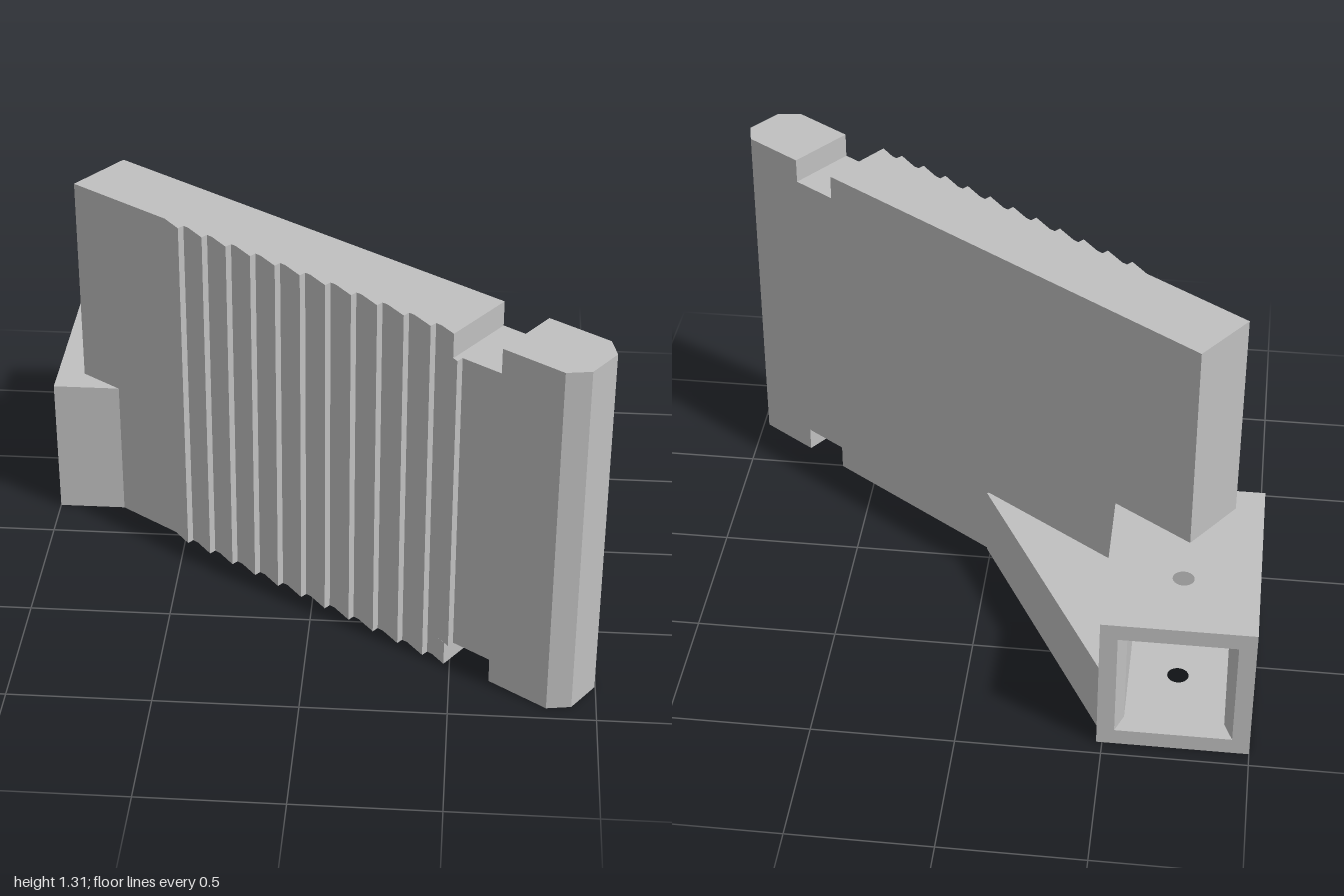
import * as THREE from 'three';

const grey = new THREE.MeshStandardMaterial({ color: 0xc0c0c0 });
grey.name = 'light grey';

const HEIGHT = 1.31, NOTCH = 0.09, THICK = 0.258;
const NOTCH_START = 1.7, NOTCH_END = 1.877;
const BOX = { x0: -1, x1: -0.48, z0: -0.945, z1: -0.17, h: 0.525 };
const WALL = 0.09, RIM = 0.06, BEVEL = 0.04, CAVITY_END = -0.5;

// Slab coordinates (u along its length, v out of its front) to plan [x, z]
const ANGLE = 0.6125;
const plan = ([u, v]) => [
  -0.9 + u * Math.cos(ANGLE) - v * Math.sin(ANGLE),
  -0.27 + u * Math.sin(ANGLE) + v * Math.cos(ANGLE),
];

// Upright prism from a plan outline of [x, z] points, with an optional round hole
function prism(points, y0, y1, hole) {
  const shape = new THREE.Shape(points.map(([x, z]) => new THREE.Vector2(x, -z)));
  if (hole) {
    const path = new THREE.Path();
    path.absarc(hole.x, -hole.z, hole.r, 0, Math.PI * 2, true);
    shape.holes.push(path);
  }
  const geo = new THREE.ExtrudeGeometry(shape, { depth: y1 - y0, bevelEnabled: false, curveSegments: 24 });
  return geo.rotateX(-Math.PI / 2).translate(0, y0, 0);
}

function block(x0, x1, y0, y1, z0, z1) {
  return new THREE.BoxGeometry(x1 - x0, y1 - y0, z1 - z0)
    .translate((x0 + x1) / 2, (y0 + y1) / 2, (z0 + z1) / 2);
}

const rect = (x0, x1, z0, z1) => [[x0, z0], [x1, z0], [x1, z1], [x0, z1]];

// Bevelled mouth of the socket, lofted through four rectangular rings
function mouthGeometry() {
  const ring = (inset, z) => [
    [BOX.x0 + inset, inset, z], [BOX.x1 - inset, inset, z],
    [BOX.x1 - inset, BOX.h - inset, z], [BOX.x0 + inset, BOX.h - inset, z],
  ];
  const back = BOX.z0 + BEVEL;
  const rings = [ring(0, back), ring(0, BOX.z0), ring(RIM, BOX.z0), ring(WALL, back)];
  const pos = [];
  for (let r = 0; r < 3; r++) {
    for (let i = 0; i < 4; i++) {
      const j = (i + 1) % 4;
      const a = rings[r][i], b = rings[r][j], c = rings[r + 1][j], d = rings[r + 1][i];
      pos.push(...a, ...c, ...b, ...a, ...d, ...c);
    }
  }
  const geo = new THREE.BufferGeometry();
  geo.setAttribute('position', new THREE.Float32BufferAttribute(pos, 3));
  geo.computeVertexNormals();
  return geo;
}

export function createModel() {
  const model = new THREE.Group();
  model.name = 'ribbedPlateWithSocket';
  const add = (parent, name, geo) => {
    const mesh = new THREE.Mesh(geo, grey);
    mesh.name = name;
    parent.add(mesh);
  };

  // Ribbed front edge: eleven whole saw teeth, the twelfth reaches into the notch
  const teeth = [];
  const tip = (i) => 0.522 + i * 0.109;
  for (let i = 0; i < 11; i++) {
    teeth.push([tip(i) - 0.085, 0], [tip(i), 0.026], [tip(i) + 0.002, 0]);
  }
  const last = tip(11);
  const endCap = [[2.116, 0], [2.178, -0.06], [2.178, -0.2], [2.116, -THICK]];

  const full = [[0, 0], ...teeth, [last - 0.085, 0], [last, 0.026], [last + 0.002, 0],
    ...endCap, [0, -THICK]].map(plan);
  const body = [[0, 0], ...teeth, [last - 0.085, 0], [NOTCH_START, 0.02],
    [NOTCH_START, -THICK], [0, -THICK]].map(plan);
  const end = [[NOTCH_END, 0], ...endCap, [NOTCH_END, -THICK]].map(plan);

  // Slab in three layers, the outer two split by the notch
  const slab = new THREE.Group();
  slab.name = 'slab';
  model.add(slab);
  add(slab, 'slabMiddle', prism(full, NOTCH, HEIGHT - NOTCH));
  for (const [name, y] of [['Bottom', 0], ['Top', HEIGHT - NOTCH]]) {
    add(slab, 'slab' + name, prism(body, y, y + NOTCH));
    add(slab, 'slabEnd' + name, prism(end, y, y + NOTCH));
  }

  // Square socket, open at the back, with a pin hole through top and bottom
  const socket = new THREE.Group();
  socket.name = 'socket';
  model.add(socket);
  const z0 = BOX.z0 + BEVEL;
  const pin = { x: -0.74, z: -0.675, r: 0.037 };
  const plate = rect(BOX.x0, BOX.x1, z0, CAVITY_END);
  add(socket, 'socketFloor', prism(plate, 0, WALL, pin));
  add(socket, 'socketRoof', prism(plate, BOX.h - WALL, BOX.h, pin));
  add(socket, 'socketRightWall', block(BOX.x0, BOX.x0 + WALL, WALL, BOX.h - WALL, z0, CAVITY_END));
  add(socket, 'socketLeftWall', block(BOX.x1 - WALL, BOX.x1, WALL, BOX.h - WALL, z0, CAVITY_END));
  add(socket, 'socketFrontBlock', block(BOX.x0, BOX.x1, 0, BOX.h, CAVITY_END, BOX.z1));
  add(socket, 'socketMouth', mouthGeometry());

  // Low triangular brace between socket and slab
  add(model, 'brace', prism([[-0.48, -0.875], [0.015, 0.05], [-0.03, 0.06], [-0.48, -0.25]], 0, 0.265));

  return model;
}
